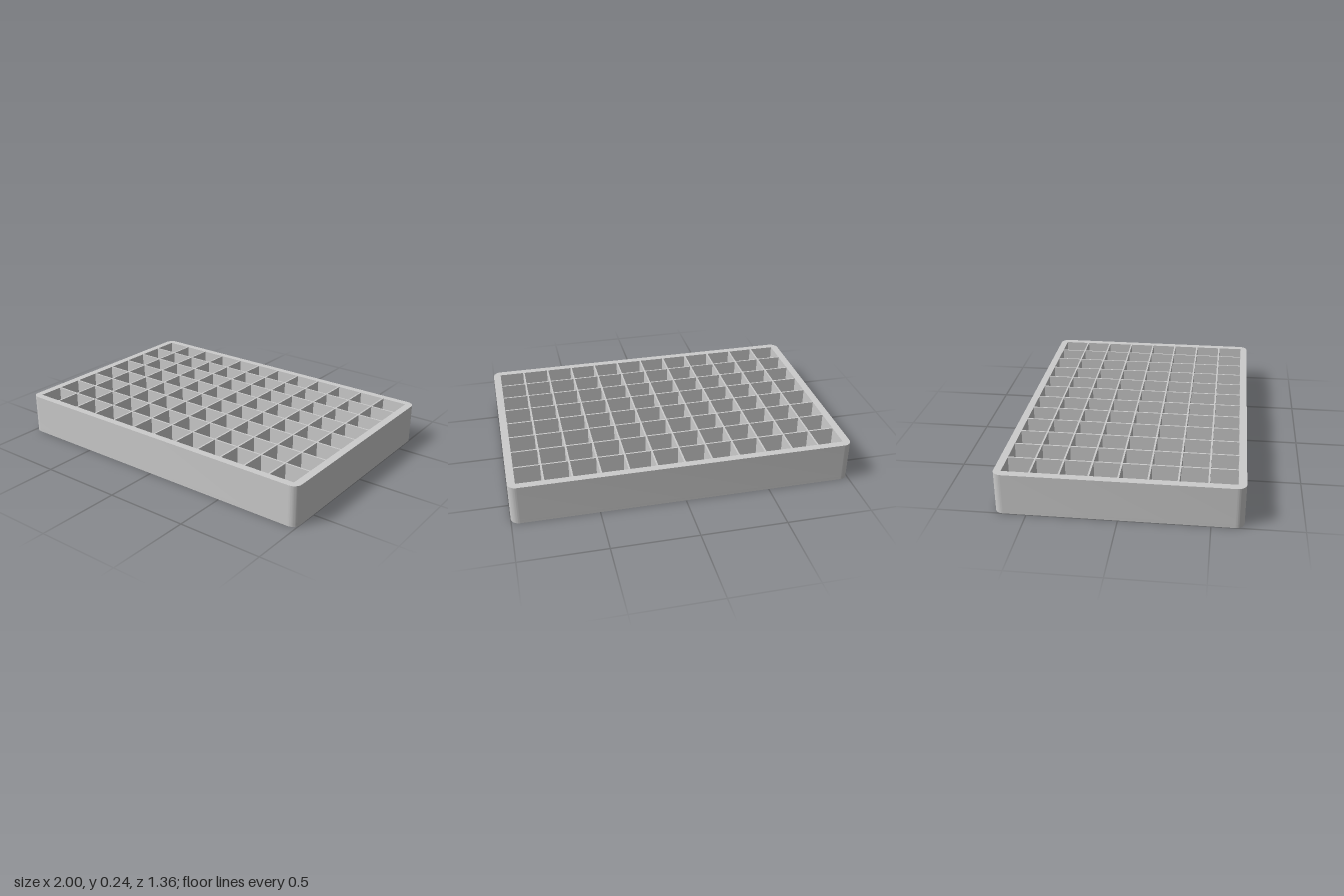
import * as THREE from 'three';
import { toCreasedNormals } from 'three/addons/utils/BufferGeometryUtils.js';

const WIDTH = 2, DEPTH = 1.356, HEIGHT = 0.24, RADIUS = 0.05;
const COLUMNS = 12, ROWS = 8, PITCH = 0.16, CELL = 0.15, FLOOR = 0.02;

// Rounded rectangle outline of the tray
function trayOutline() {
  const x = WIDTH / 2, y = DEPTH / 2, r = RADIUS;
  const s = new THREE.Shape();
  s.absarc(x - r, y - r, r, 0, Math.PI / 2);
  s.absarc(-x + r, y - r, r, Math.PI / 2, Math.PI);
  s.absarc(-x + r, -y + r, r, Math.PI, Math.PI * 1.5);
  s.absarc(x - r, -y + r, r, Math.PI * 1.5, Math.PI * 2);
  s.closePath();
  return s;
}

// Square opening of one compartment
function cellHole(cx, cy) {
  const h = CELL / 2;
  return new THREE.Path([
    new THREE.Vector2(cx - h, cy - h),
    new THREE.Vector2(cx - h, cy + h),
    new THREE.Vector2(cx + h, cy + h),
    new THREE.Vector2(cx + h, cy - h),
  ]);
}

// Upright slab from an outline, standing at height y
function slab(name, shape, y, height, material) {
  const extruded = new THREE.ExtrudeGeometry(shape, { depth: height, bevelEnabled: false, curveSegments: 8 });
  extruded.rotateX(-Math.PI / 2);
  const mesh = new THREE.Mesh(toCreasedNormals(extruded, Math.PI / 6), material);
  mesh.position.y = y;
  mesh.name = name;
  return mesh;
}

export function createModel() {
  const group = new THREE.Group();
  group.name = 'compartmentTray';
  const material = new THREE.MeshStandardMaterial({ color: 0xcccccc });

  // Rim and thin dividers, pierced by the grid of compartments
  const grid = trayOutline();
  for (let i = 0; i < COLUMNS; i++) {
    for (let j = 0; j < ROWS; j++) {
      grid.holes.push(cellHole((i - (COLUMNS - 1) / 2) * PITCH, (j - (ROWS - 1) / 2) * PITCH));
    }
  }
  group.add(slab('rimAndDividers', grid, FLOOR, HEIGHT - FLOOR, material));

  // Solid floor
  group.add(slab('floor', trayOutline(), 0, FLOOR, material));
  return group;
}
